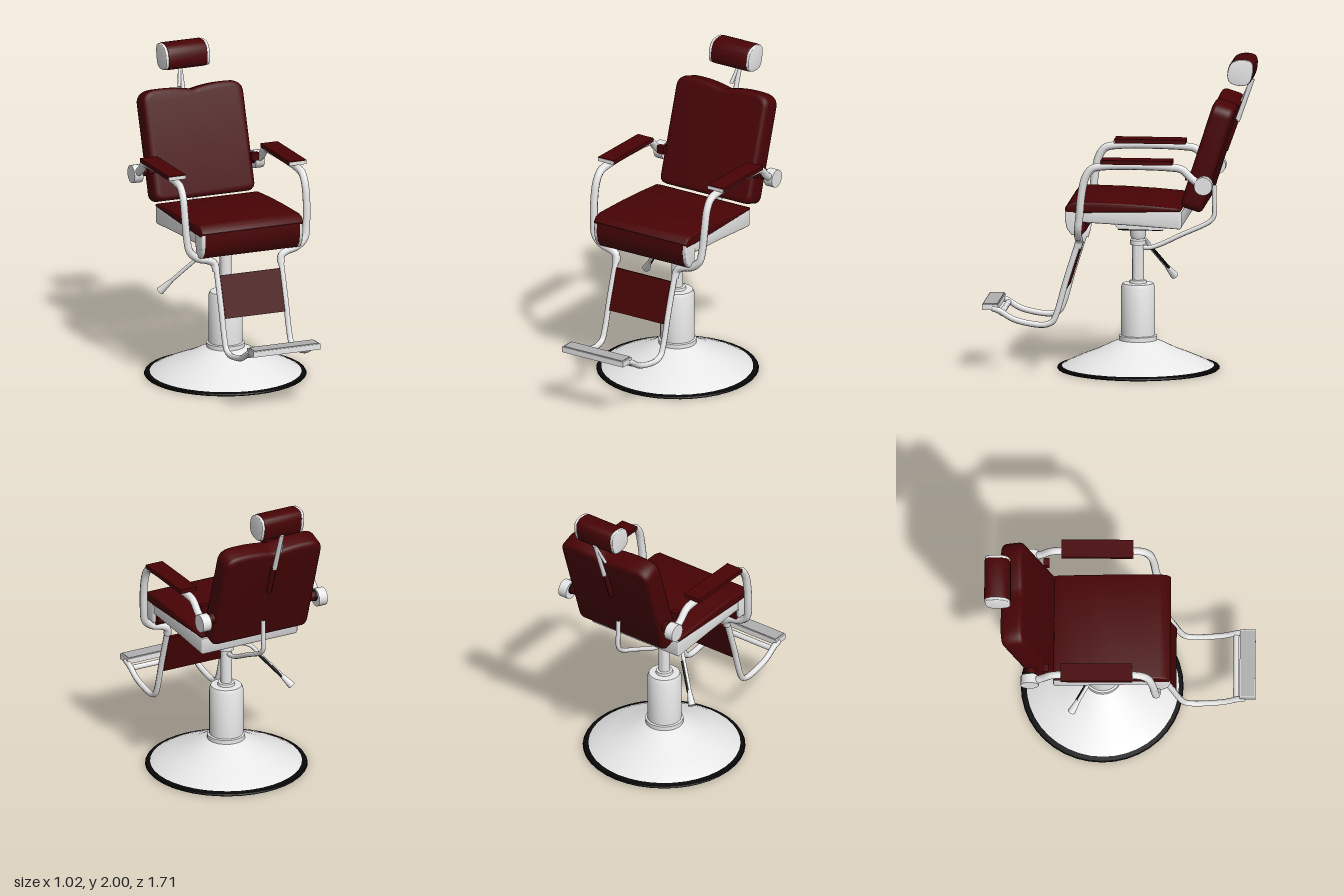
import * as THREE from 'three';
import { toCreasedNormals } from 'three/addons/utils/BufferGeometryUtils.js';

const mat = (name, color) => {
  const m = new THREE.MeshStandardMaterial({ color });
  m.name = name;
  return m;
};

export function createModel() {
  const red = mat('dark red leather', 0x480305);
  const white = mat('white enamel', 0xececec);
  const grey = mat('grey metal', 0xb0b0b0);
  const black = mat('black rubber', 0x080808);
  const group = new THREE.Group();
  const baseZ = -0.11;

  const add = (name, geo, material, x = 0, y = 0, z = 0) => {
    const mesh = new THREE.Mesh(geo, material);
    mesh.name = name;
    mesh.position.set(x, y, z);
    group.add(mesh);
    return mesh;
  };
  const box = (w, h, d) => new THREE.BoxGeometry(w, h, d);
  const lathe = (pts, n = 32) =>
    toCreasedNormals(new THREE.LatheGeometry(pts.map(p => new THREE.Vector2(...p)), n), 0.6);
  const tube = (pts, r, n = 48) => new THREE.TubeGeometry(
    new THREE.CatmullRomCurve3(pts.map(p => new THREE.Vector3(...p)), false, 'centripetal'), n, r, 8);
  // Straight bar between two points
  const bar = (name, a, b, r1, r2, material, sides = 8) => {
    const p = new THREE.Vector3(...a), q = new THREE.Vector3(...b);
    const mesh = add(name, new THREE.CylinderGeometry(r2, r1, p.distanceTo(q), sides), material);
    mesh.position.copy(p).add(q).multiplyScalar(0.5);
    mesh.quaternion.setFromUnitVectors(new THREE.Vector3(0, 1, 0), q.sub(p).normalize());
  };
  const extrude = (shape, depth, bevel) => {
    const g = new THREE.ExtrudeGeometry(shape, {
      depth: depth - 2 * bevel, bevelEnabled: bevel > 0, bevelSize: bevel, bevelThickness: bevel,
      bevelOffset: -bevel, bevelSegments: 3, curveSegments: 8,
    });
    g.translate(0, 0, -(depth - 2 * bevel) / 2);
    return toCreasedNormals(g, 0.7);
  };
  // Side profile given as (z, y), extruded across x
  const sideProfile = (pts, width, bevel) => {
    const g = extrude(new THREE.Shape(pts.map(p => new THREE.Vector2(...p))), width, bevel);
    return g.rotateY(-Math.PI / 2);
  };

  // Base and hydraulic column
  add('baseRim', lathe([[0.487, 0.001], [0.505, 0.001], [0.512, 0.008], [0.507, 0.017], [0.476, 0.023]], 40), black, 0, 0, baseZ - 0.003);
  add('baseUnderside', new THREE.CircleGeometry(0.488, 40).rotateX(Math.PI / 2), white, 0, 0.001, baseZ - 0.003);
  add('baseDome', lathe([[0.486, 0.018], [0.44, 0.045], [0.35, 0.085], [0.25, 0.125], [0.17, 0.165], [0.12, 0.185]], 40), white, 0, 0, baseZ);
  add('column', lathe([[0.12, 0.175], [0.12, 0.212], [0.108, 0.216], [0.108, 0.52], [0.098, 0.545], [0.055, 0.548],
    [0.052, 0.565], [0.037, 0.568], [0.037, 0.79], [0.05, 0.792], [0.05, 0.82], [0.042, 0.83], [0.05, 0.85], [0.05, 0.915]], 24), white, 0, 0, baseZ);

  // Mount under the seat
  add('seatMount', sideProfile([[0.05, 0.97], [0, 0.912], [-0.28, 0.908], [-0.34, 0.965]], 0.3, 0), white);
  add('seatMountPlate', box(0.3, 0.006, 0.28), black, 0, 0.907, -0.14);

  // Seat
  add('seatFrame', sideProfile([[0.21, 0.98], [-0.1, 0.965], [-0.41, 0.945], [-0.42, 0.96], [-0.42, 1.055],
    [-0.4, 1.065], [0.21, 1.05]], 0.69, 0.012), white);
  add('seatCushion', sideProfile([[0.2, 1.042], [0.31, 1.042], [0.318, 1.07], [0.295, 1.1], [0.25, 1.112], [0, 1.107],
    [-0.2, 1.097], [-0.39, 1.082], [-0.42, 1.07], [-0.41, 1.058]], 0.7, 0.01), red);
  const rollFront = [[0.275, 0.9], [0.305, 0.94], [0.318, 1.0], [0.315, 1.06]];
  add('seatFrontRoll', sideProfile([[0.21, 0.9], ...rollFront, [0.19, 1.06], [0.19, 0.92]], 0.65, 0), red);
  for (const s of [-1, 1])
    add('seatFrontEndCap', sideProfile([[0.23, 0.9], ...rollFront, [0.205, 1.06], [0.212, 0.93]], 0.03, 0.008), white, s * 0.333, 0, 0);

  // Reclined backrest with a dipped top edge
  const b = new THREE.Shape();
  b.moveTo(-0.29, -0.355);
  b.lineTo(0.29, -0.355);
  b.quadraticCurveTo(0.345, -0.355, 0.345, -0.3);
  b.lineTo(0.345, 0.27);
  b.quadraticCurveTo(0.345, 0.335, 0.27, 0.348);
  b.quadraticCurveTo(0.14, 0.358, 0, 0.325);
  b.quadraticCurveTo(-0.14, 0.358, -0.27, 0.348);
  b.quadraticCurveTo(-0.345, 0.335, -0.345, 0.27);
  b.lineTo(-0.345, -0.3);
  b.quadraticCurveTo(-0.345, -0.355, -0.29, -0.355);
  const back = add('backrest', extrude(b, 0.145, 0.03), red, 0, 1.405, -0.583);
  back.rotation.x = -0.31;

  // Headrest, its end caps and stem
  const head = (k) => {
    const s = new THREE.Shape();
    const p = [[0.07, 0.045], [0.03, 0.08], [-0.05, 0.082], [-0.08, 0.06], [-0.078, -0.02], [-0.05, -0.075], [0.03, -0.08], [0.078, -0.05]];
    const c = new THREE.CatmullRomCurve3(p.map(([z, y]) => new THREE.Vector3(z * k, y * k, 0)), true);
    s.setFromPoints(c.getPoints(24).slice(0, -1).reverse());
    return s;
  };
  add('headrest', extrude(head(1), 0.27, 0.008).rotateY(-Math.PI / 2), red, 0, 1.917, -0.77);
  for (const s of [-1, 1])
    add('headrestCap', extrude(head(0.97), 0.024, 0.006).rotateY(-Math.PI / 2), white, s * 0.14, 1.917, -0.77);
  bar('headrestStem', [0, 1.59, -0.738], [0, 1.86, -0.835], 0.016, 0.014, white, 6);
  bar('backRidge', [0, 1.4, -0.66], [0, 1.6, -0.732], 0.018, 0.018, red, 6);
  bar('stemBrace', [-0.03, 1.71, -0.765], [0, 1.845, -0.825], 0.012, 0.01, white, 6);

  // Bar that carries the backrest
  add('backSupport', tube([[0, 0.77, -0.13], [0, 0.775, -0.2], [0, 0.86, -0.39], [0, 0.945, -0.565],
    [0, 0.98, -0.59], [0, 1.08, -0.592], [0, 1.18, -0.592]], 0.015), white);

  // Pump lever, with a dark strip along the rear of its shaft
  add('leverArm', tube([[-0.02, 0.81, -0.12], [-0.1, 0.815, -0.13], [-0.16, 0.79, -0.145], [-0.2, 0.74, -0.17]], 0.013, 20), white);
  bar('leverShaft', [-0.2, 0.74, -0.17], [-0.32, 0.595, -0.265], 0.012, 0.012, white);
  bar('leverStrip', [-0.194, 0.738, -0.178], [-0.312, 0.595, -0.272], 0.01, 0.01, black);
  bar('leverHandle', [-0.31, 0.605, -0.26], [-0.365, 0.535, -0.305], 0.014, 0.026, white);

  // Arms, pivots and footrest legs
  for (const s of [-1, 1]) {
    const m = pts => pts.map(([x, y, z]) => [s * x, y, z]);
    add('armTube', tube(m([[0.415, 1.24, -0.55], [0.415, 1.285, -0.49], [0.415, 1.34, -0.43], [0.415, 1.352, -0.36],
      [0.415, 1.352, 0.07], [0.417, 1.335, 0.14], [0.418, 1.28, 0.18], [0.418, 1.17, 0.205], [0.41, 1.02, 0.22],
      [0.395, 0.94, 0.23], [0.34, 0.89, 0.235], [0.27, 0.87, 0.236], [0.23, 0.845, 0.238], [0.222, 0.8, 0.25]]), 0.025, 80), white);
    add('footrestLeg', tube(m([[0.222, 0.85, 0.238], [0.222, 0.78, 0.262], [0.222, 0.58, 0.325], [0.222, 0.38, 0.382],
      [0.222, 0.325, 0.41], [0.222, 0.305, 0.46], [0.222, 0.315, 0.57], [0.222, 0.34, 0.66], [0.222, 0.39, 0.745], [0.222, 0.405, 0.79]]), 0.019, 60), white);
    add('armPad', box(0.118, 0.026, 0.45), red, s * 0.414, 1.387, -0.147);
    add('armPadTip', box(0.118, 0.022, 0.004), white, s * 0.414, 1.384, 0.079);
    const pivot = add('pivotKnob', new THREE.CylinderGeometry(0.058, 0.058, 0.06, 16), white, s * 0.417, 1.24, -0.567);
    const axle = add('pivotAxle', new THREE.CylinderGeometry(0.034, 0.034, 0.12, 12), red, s * 0.335, 1.255, -0.56);
    const collar = add('pivotCollar', new THREE.CylinderGeometry(0.037, 0.037, 0.012, 12), black, s * 0.381, 1.253, -0.56);
    for (const part of [pivot, axle, collar]) part.rotation.z = Math.PI / 2;
    add('backBracket', box(0.05, 0.05, 0.035), red, s * 0.355, 1.29, -0.465);
  }

  // Calf panel and footplate
  const calf = add('calfPanel', box(0.41, 0.275, 0.02), red, 0, 0.64, 0.305);
  calf.rotation.x = -0.3;
  bar('footCrossbar', [-0.222, 0.375, 0.73], [0.222, 0.375, 0.73], 0.018, 0.018, white);
  add('footplate', box(0.46, 0.036, 0.1), white, 0, 0.412, 0.802);
  add('footplateTread', box(0.44, 0.006, 0.09), grey, 0, 0.432, 0.802);
  return group;
}
